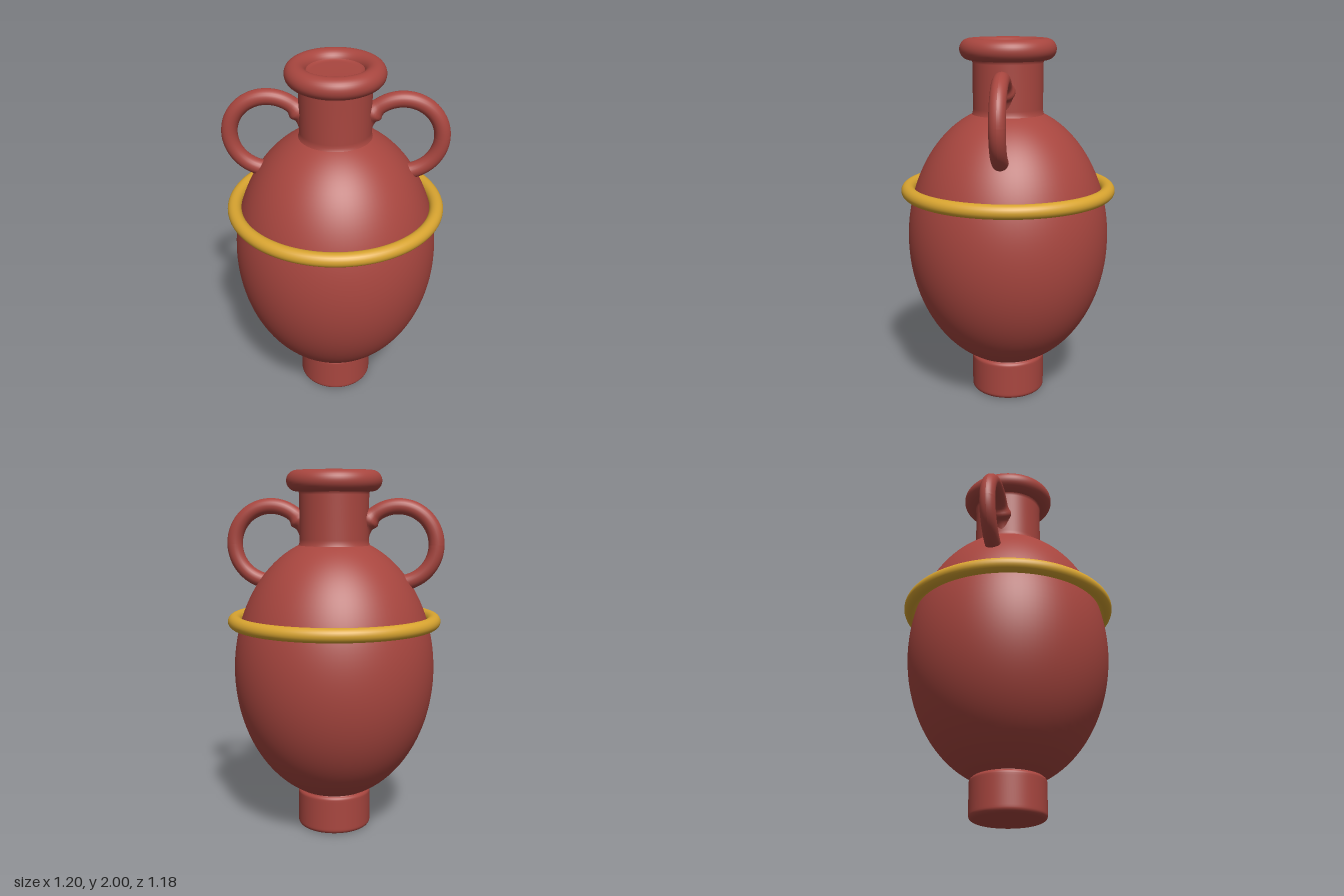
import * as THREE from 'three';

const SEGMENTS = 96;

function lathe(points) {
  return new THREE.LatheGeometry(points.map(([r, y]) => new THREE.Vector2(r, y)), SEGMENTS);
}

// Points along an arc, used for rounded corners of a profile
function arc(cx, cy, radius, from, to, steps) {
  const points = [];
  for (let i = 0; i <= steps; i++) {
    const a = THREE.MathUtils.degToRad(from + (to - from) * i / steps);
    points.push([cx + radius * Math.cos(a), cy + radius * Math.sin(a)]);
  }
  return points;
}

// Ring handle whose tube swells a little where it meets the neck and shoulder
function handleGeometry() {
  const R = 0.207, r = 0.043, joints = [0.7, 5.0];
  const geometry = new THREE.TorusGeometry(R, r, 24, 96);
  const p = geometry.attributes.position;
  for (let i = 0; i < p.count; i++) {
    const x = p.getX(i), y = p.getY(i);
    const a = (Math.atan2(y, -x) + Math.PI * 2) % (Math.PI * 2);
    let swell = 1;
    for (const j of joints) swell += 0.35 * Math.exp(-(((a - j) / 0.12) ** 2));
    const radial = R + (Math.hypot(x, y) - R) * swell;
    p.setXYZ(i, -Math.cos(a) * radial, Math.sin(a) * radial, p.getZ(i) * swell);
  }
  geometry.computeVertexNormals();
  return geometry;
}

export function createModel() {
  const clay = new THREE.MeshStandardMaterial({ color: 0xa8463f });
  clay.name = 'red clay';
  const gold = new THREE.MeshStandardMaterial({ color: 0xd8a430 });
  gold.name = 'gold';

  const model = new THREE.Group();
  model.name = 'amphora';
  const add = (name, geometry, material, x = 0, y = 0) => {
    const mesh = new THREE.Mesh(geometry, material);
    mesh.name = name;
    mesh.position.set(x, y, 0);
    model.add(mesh);
    return mesh;
  };

  // Egg-shaped body
  const body = new THREE.SphereGeometry(0.555, SEGMENTS, 64);
  body.scale(1, 0.735 / 0.555, 1);
  add('body', body, clay, 0, 0.91);

  // Foot with rounded rims
  add('foot', lathe([
    [0, 0], [0.17, 0], ...arc(0.18, 0.025, 0.025, -90, 0, 6),
    [0.205, 0.035], [0.205, 0.185], ...arc(0.185, 0.197, 0.02, 0, 75, 5), [0.187, 0.23], [0.187, 0.26],
  ]), clay);

  // Neck, closed just below the top of the lip
  add('neck', lathe([
    [0.21, 1.575], [0.196, 1.595], [0.19, 1.615], [0.19, 1.63], [0.19, 1.87],
    [0.193, 1.885], [0.205, 1.9],
  ]), clay);
  add('mouth', lathe([
    [0.185, 1.992], [0.172, 1.984], [0.163, 1.973], [0.152, 1.962], [0.14, 1.956], [0.125, 1.953], [0, 1.952],
  ].reverse().map(([r, y]) => [r, y]).reverse()), clay);

  // Rolled lip
  const lip = new THREE.TorusGeometry(0.203, 0.057, 32, SEGMENTS);
  lip.rotateX(Math.PI / 2);
  add('lip', lip, clay, 0, 1.943);

  // Gold band around the shoulder
  const band = new THREE.TorusGeometry(0.55, 0.038, 24, 128);
  band.rotateX(Math.PI / 2);
  add('shoulderBand', band, gold, 0, 1.185);

  // Pair of handles
  const handle = handleGeometry();
  add('leftHandle', handle, clay, 0.35, 1.601);
  add('rightHandle', handle, clay, -0.35, 1.601).rotation.y = Math.PI;

  return model;
}
